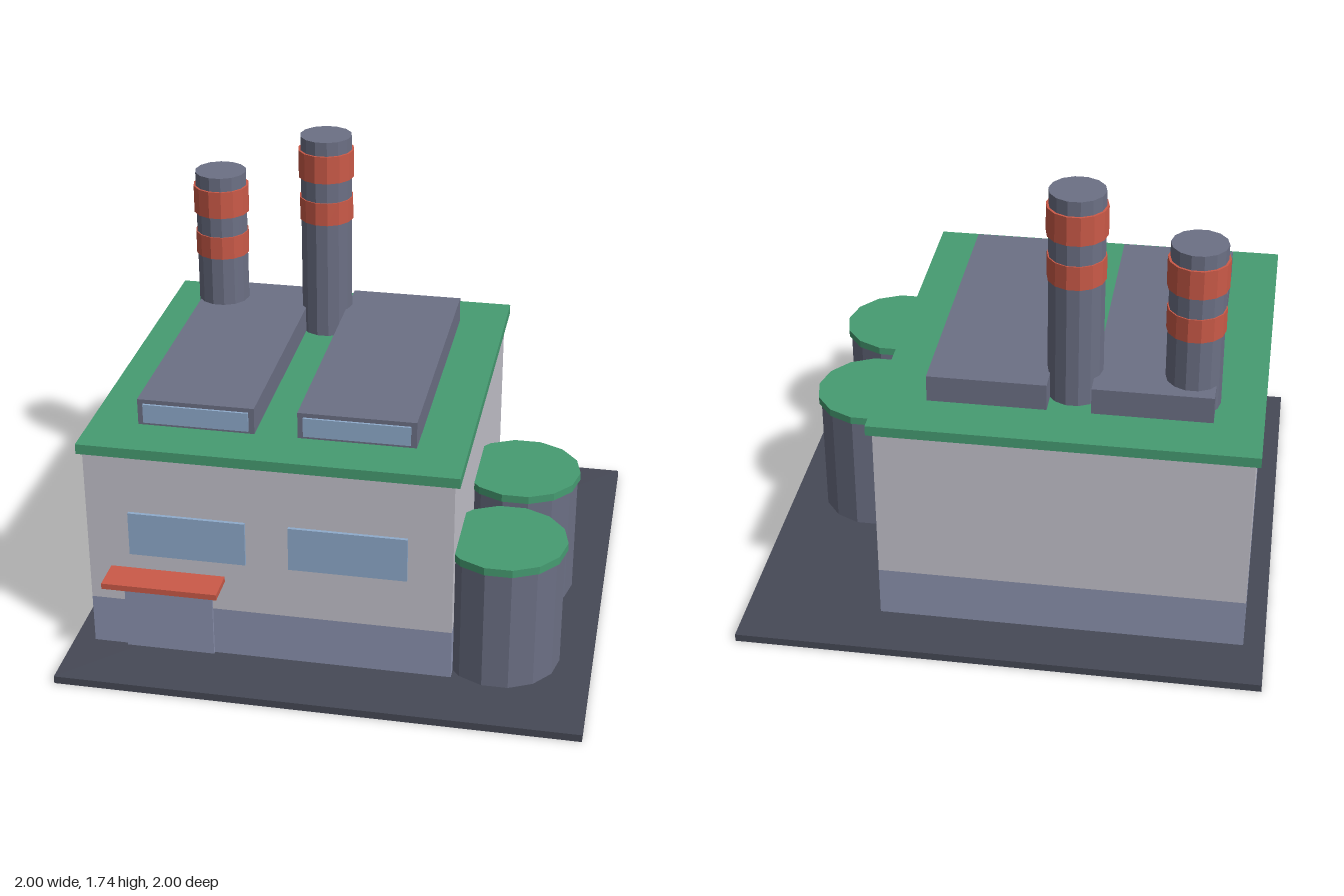
import * as THREE from 'three';

export function createModel() {
  const group = new THREE.Group();
  const mat = (name, color) => new THREE.MeshStandardMaterial({ name, color, flatShading: true });
  const asphalt = mat('asphalt', 0x464956);
  const wall = mat('pale wall', 0xc3c2cb);
  const plinth = mat('blue grey plinth', 0x8b92ae);
  const green = mat('green trim', 0x469c72);
  const metal = mat('grey metal', 0x6c7085);
  const red = mat('red paint', 0xcb5a48);
  const glass = mat('window glass', 0x8fabcc);

  // Box given by its minimum and maximum on each axis
  const box = (name, material, [x0, x1], [y0, y1], [z0, z1]) => {
    const mesh = new THREE.Mesh(new THREE.BoxGeometry(x1 - x0, y1 - y0, z1 - z0), material);
    mesh.position.set((x0 + x1) / 2, (y0 + y1) / 2, (z0 + z1) / 2);
    mesh.name = name;
    group.add(mesh);
  };

  // Upright 14-sided drum with a corner towards +x
  const drum = (name, material, r, x, z, y0, y1) => {
    const geometry = new THREE.CylinderGeometry(r, r, y1 - y0, 14).rotateY(Math.PI / 2);
    const mesh = new THREE.Mesh(geometry, material);
    mesh.position.set(x, (y0 + y1) / 2, z);
    mesh.name = name;
    group.add(mesh);
  };

  // Ground slab and main hall
  box('groundSlab', asphalt, [-1, 1], [0, 0.03], [-1, 1]);
  box('wallPlinth', plinth, [-0.92, 0.48], [0.03, 0.23], [-0.78, 0.73]);
  box('walls', wall, [-0.92, 0.48], [0.23, 0.86], [-0.78, 0.73]);
  box('roof', green, [-0.94, 0.5], [0.86, 0.9], [-0.805, 0.745]);

  // Roof monitors with glazed fronts, and the windows below them
  for (const x of [-0.53, 0.085]) {
    box('roofMonitor', metal, [x - 0.225, x + 0.225], [0.9, 1.005], [-0.6, 0.545]);
    box('monitorGlass', glass, [x - 0.203, x + 0.203], [0.912, 0.988], [0.545, 0.554]);
    box('window', glass, [x - 0.225, x + 0.225], [0.445, 0.623], [0.73, 0.743]);
  }

  // Door and canopy
  box('door', plinth, [-0.785, -0.44], [0.03, 0.345], [0.73, 0.742]);
  box('canopy', red, [-0.835, -0.39], [0.355, 0.378], [0.73, 0.862]);

  // Chimneys with two painted bands each
  for (const [x, top] of [[-0.668, 1.56], [-0.228, 1.74]]) {
    drum('chimney', metal, 0.105, x, -0.455, 0.88, top);
    drum('upperBand', red, 0.114, x, -0.455, top - 0.17, top - 0.057);
    drum('lowerBand', red, 0.11, x, -0.455, top - 0.35, top - 0.255);
  }

  // Storage tanks with lids
  for (const z of [-0.005, 0.54]) {
    drum('tank', metal, 0.225, 0.65, z, 0.03, 0.522);
    drum('tankLid', green, 0.235, 0.65, z, 0.522, 0.553);
  }
  return group;
}
